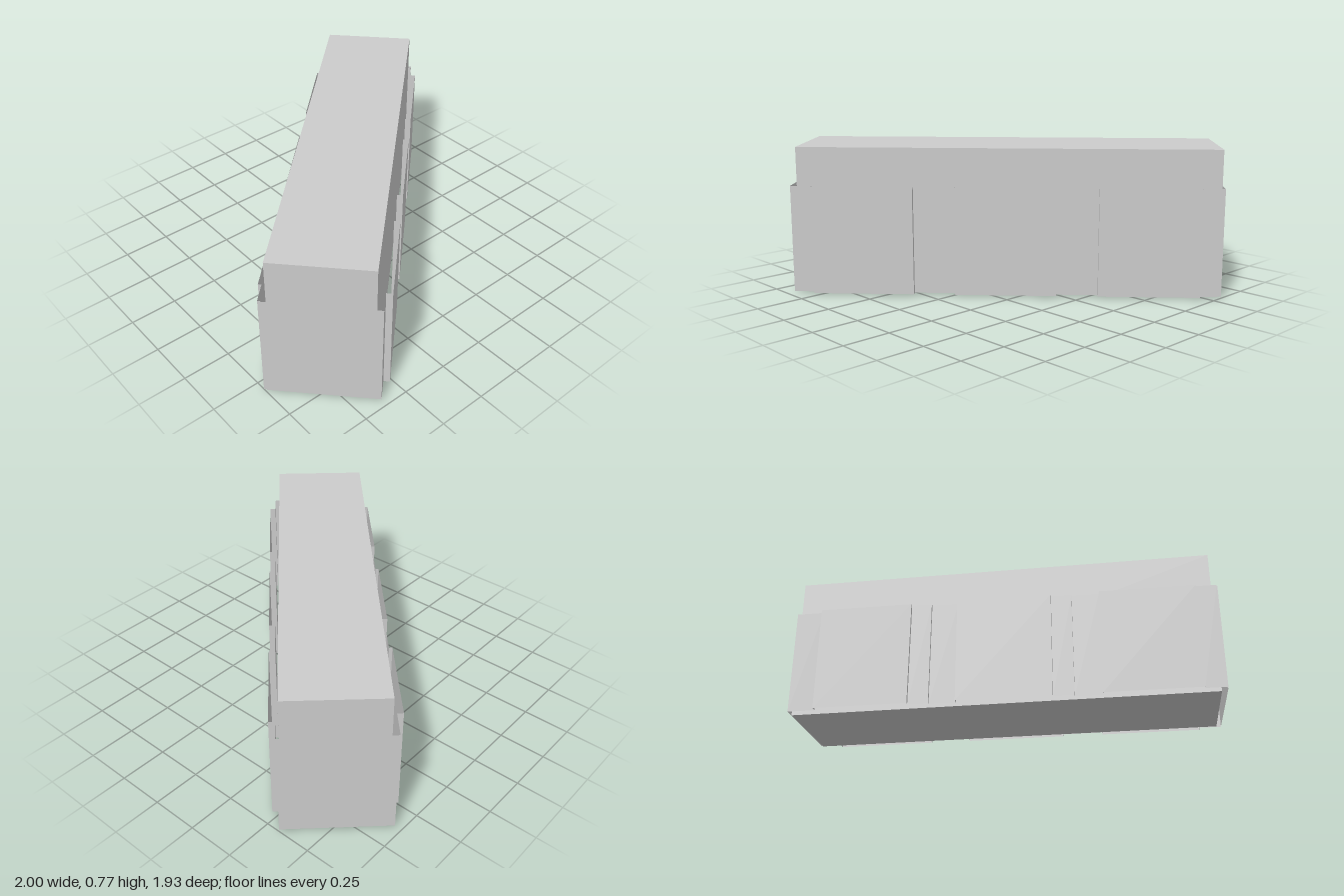
import * as THREE from 'three';
import { mergeGeometries } from 'three/addons/utils/BufferGeometryUtils.js';

const rad = THREE.MathUtils.degToRad;

// Vertical open sheet following a closed outline of [x, z] points
function wallSheet(points, bottom, top) {
  const planes = points.map(([x0, z0], i) => {
    const [x1, z1] = points[(i + 1) % points.length];
    const dx = x1 - x0, dz = z1 - z0;
    return new THREE.PlaneGeometry(Math.hypot(dx, dz), top - bottom)
      .rotateY(Math.atan2(-dz, dx))
      .translate((x0 + x1) / 2, (bottom + top) / 2, (z0 + z1) / 2);
  });
  return mergeGeometries(planes);
}

export function createModel() {
  const group = new THREE.Group();
  const material = new THREE.MeshStandardMaterial({ color: 0xcccccc, flatShading: true });
  const sheetMaterial = material.clone();
  sheetMaterial.side = THREE.DoubleSide;

  // Tall main block
  const core = new THREE.Mesh(new THREE.BoxGeometry(2.19, 0.77, 0.494), material);
  core.name = 'mainBlock';
  core.position.set(0.0065, 0.385, -0.005);
  core.rotation.y = rad(43.02);
  group.add(core);

  // Lower facade: plain ends, three projecting bays on each long side
  const halfL = 1.1155, wall = 0.2716, ledge = 0.286, bay = 0.303;
  const outline = [[-halfL, wall]];
  for (const c of [-0.74, 0, 0.74]) {
    outline.push([c - 0.262, wall], [c - 0.262, bay], [c + 0.262, bay], [c + 0.262, wall]);
  }
  outline.push([halfL, wall], [halfL, -wall]);
  // Rear bays each have a shallower strip beside them
  for (const start of [0.971, 0.23, -0.511]) {
    const end = start - 0.493, stripEnd = Math.max(end - 0.107, -halfL);
    outline.push([start, -wall], [start, -bay], [end, -bay], [end, -ledge],
      [stripEnd, -ledge], [stripEnd, -wall]);
  }
  outline.push([-halfL, -wall]);

  const facade = new THREE.Mesh(wallSheet(outline, 0.008, 0.572), sheetMaterial);
  facade.name = 'lowerFacade';
  facade.rotation.y = rad(43.44);
  group.add(facade);

  return group;
}
